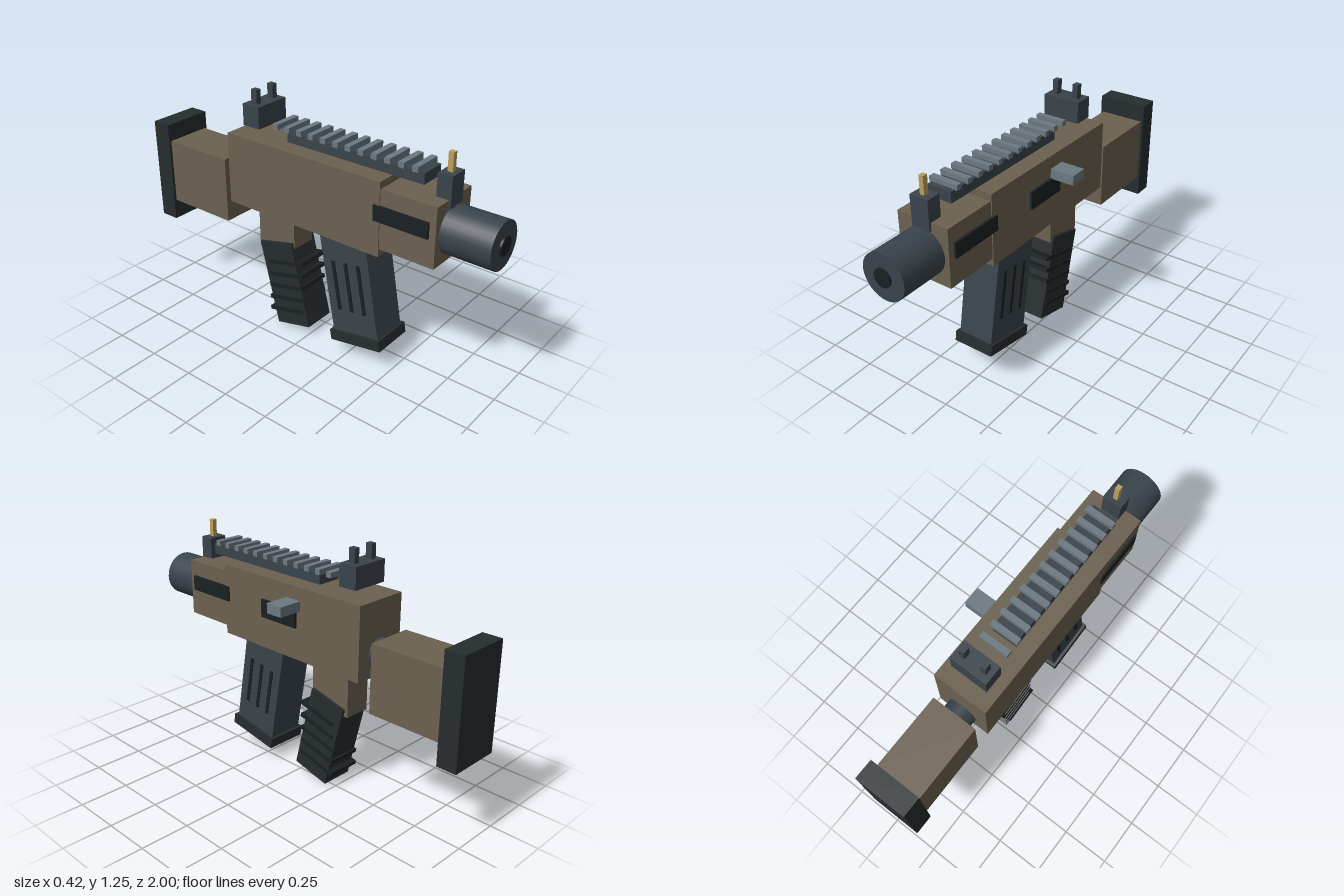
import * as THREE from 'three';

const CX = -0.06; // centre line of the body

const mat = (color) => new THREE.MeshStandardMaterial({ color });
const TAN = mat(0x6b6150);
const SLATE = mat(0x3a434b);
const DARK = mat(0x262d2f);
const BLACK = mat(0x1a2022);
const STEEL = mat(0x6c7881);
const BRASS = mat(0xb9a05c);

// Box given by its size and centre
function box(parent, name, material, w, h, d, x, y, z) {
  const mesh = new THREE.Mesh(new THREE.BoxGeometry(w, h, d), material);
  mesh.name = name;
  mesh.position.set(x, y, z);
  parent.add(mesh);
  return mesh;
}

// Box on the centre line given by its y and z limits
function block(parent, name, material, w, y0, y1, z0, z1) {
  return box(parent, name, material, w, y1 - y0, z1 - z0, CX, (y0 + y1) / 2, (z0 + z1) / 2);
}

// Cylinder lying along z
function tube(parent, name, material, r, y, z0, z1) {
  const geo = new THREE.CylinderGeometry(r, r, z1 - z0, 32).rotateX(Math.PI / 2);
  const mesh = new THREE.Mesh(geo, material);
  mesh.name = name;
  mesh.position.set(CX, y, (z0 + z1) / 2);
  parent.add(mesh);
}

// Group tilted in the side plane, its top leaning back
function tilted(parent, name, y, z, angle) {
  const g = new THREE.Group();
  g.name = name;
  g.position.set(CX, y, z);
  g.rotation.x = -angle;
  parent.add(g);
  return g;
}

export function createModel() {
  const model = new THREE.Group();
  model.name = 'model';

  // Body
  block(model, 'receiver', TAN, 0.287, 0.665, 1.035, -0.45, 0.46);
  block(model, 'handguard', TAN, 0.277, 0.705, 1.0, 0.4, 0.745);

  // Barrel
  tube(model, 'barrel', SLATE, 0.115, 0.848, 0.7, 0.99);
  tube(model, 'muzzleBore', BLACK, 0.045, 0.848, 0.9, 1.0);

  // Side details
  for (const s of [-1, 1])
    box(model, 'handguardPanel', BLACK, 0.02, 0.077, 0.283, CX + s * 0.141, 0.883, 0.571);
  box(model, 'ejectionPort', BLACK, 0.03, 0.092, 0.235, 0.08, 0.874, 0.0625);
  box(model, 'chargingHandle', STEEL, 0.15, 0.05, 0.092, 0.135, 0.943, -0.033);

  // Top rail with cross teeth
  block(model, 'rail', SLATE, 0.13, 1.043, 1.097, -0.13, 0.63);
  for (let i = 0; i < 12; i++)
    box(model, 'railTooth', STEEL, 0.153, 0.027, 0.03, CX, 1.107, 0.588 - i * 0.0712);

  // Sights
  block(model, 'frontSightBase', SLATE, 0.098, 0.96, 1.11, 0.682, 0.755);
  block(model, 'frontSightPost', BRASS, 0.024, 1.1, 1.2, 0.706, 0.732);
  block(model, 'rearSightBase', SLATE, 0.196, 1.078, 1.188, -0.381, -0.281);
  for (const s of [-1, 1])
    box(model, 'rearSightPost', SLATE, 0.029, 0.08, 0.035, CX + s * 0.057, 1.22, -0.331);

  // Magazine with side grooves and base plate
  const magazine = tilted(model, 'magazine', 0.414, 0.265, 0.175);
  box(magazine, 'magazineBody', SLATE, 0.193, 0.537, 0.268, 0, 0, 0);
  box(magazine, 'magazineBase', DARK, 0.223, 0.056, 0.297, 0, -0.29, 0);
  for (let i = -1; i <= 1; i++)
    box(magazine, 'magazineGroove', BLACK, 0.203, 0.26, 0.019, 0, -0.01, i * 0.074);

  // Pistol grip with ribs
  block(model, 'gripNeck', TAN, 0.14, 0.42, 0.7, -0.326, -0.096);
  const grip = tilted(model, 'grip', 0.258, -0.152, 0.24);
  box(grip, 'gripBody', DARK, 0.173, 0.464, 0.212, 0, 0, 0);
  for (let i = 0; i < 5; i++) {
    const rib = box(model, 'gripRib', BLACK, 0.183, 0.02, 0.222, CX, 0.387 - i * 0.07, -0.14);
    rib.rotation.x = -0.24;
  }

  // Stock
  tube(model, 'stockTube', SLATE, 0.076, 0.775, -0.55, -0.4);
  block(model, 'stock', TAN, 0.242, 0.525, 0.87, -0.9, -0.503);
  block(model, 'buttPlate', DARK, 0.27, 0.418, 0.962, -1.0, -0.898);

  return model;
}
